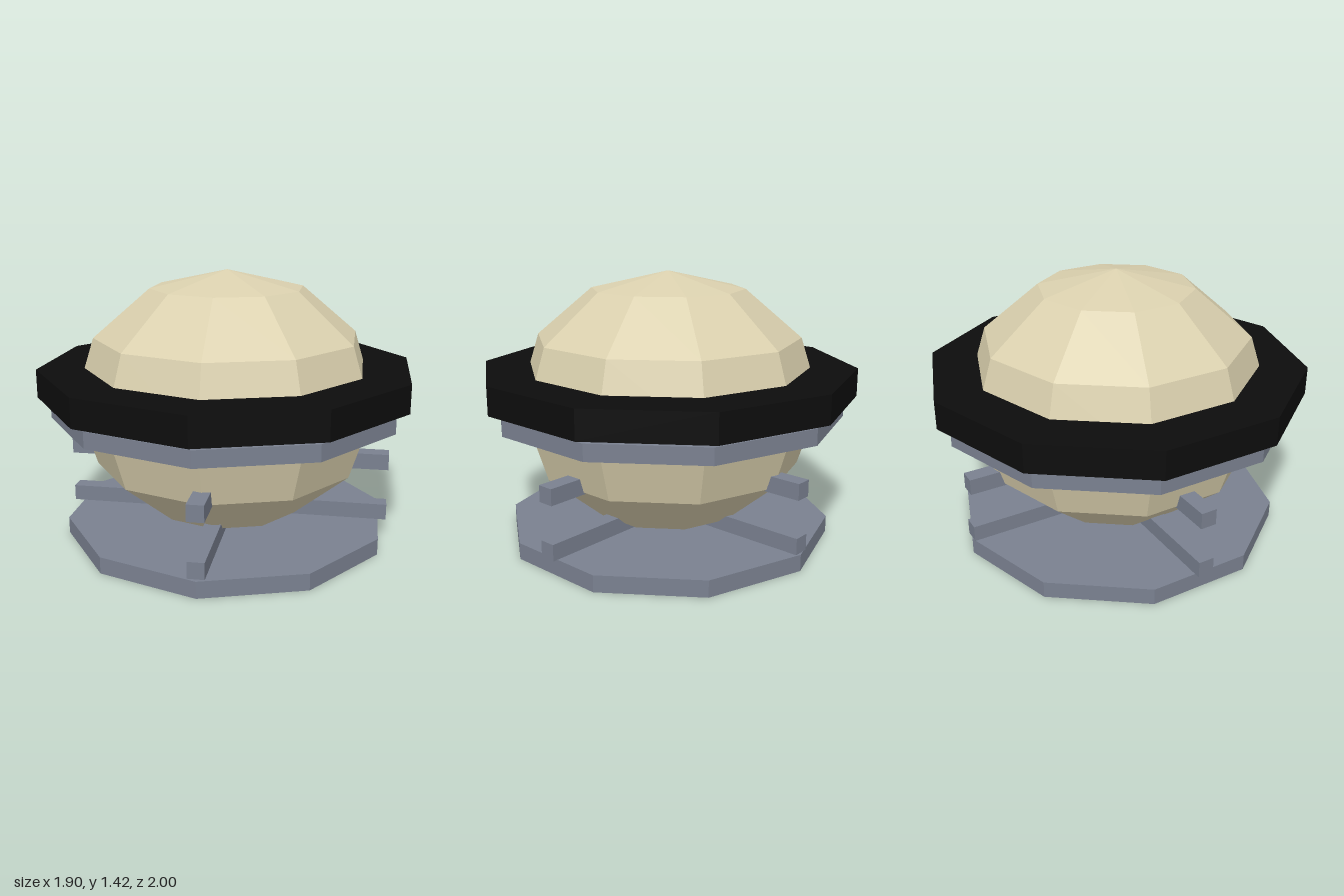
import * as THREE from 'three';

const SIDES = 10;

export function createModel() {
  const group = new THREE.Group();
  const material = (name, color) => {
    const m = new THREE.MeshStandardMaterial({ color, flatShading: true });
    m.name = name;
    return m;
  };
  const cream = material('cream', 0xdad0ae);
  const grey = material('slate grey', 0x7a8190);
  const black = material('black', 0x0d0d0d);

  const add = (name, geometry, mat, y) => {
    const mesh = new THREE.Mesh(geometry, mat);
    mesh.name = name;
    mesh.position.y = y;
    group.add(mesh);
    return mesh;
  };

  // Ten-sided discs with a corner facing the front
  const disc = (name, radius, bottom, top, mat) =>
    add(name, new THREE.CylinderGeometry(radius, radius, top - bottom, SIDES), mat, (bottom + top) / 2);
  disc('base', 0.873, 0, 0.087, grey);
  disc('lowerRing', 0.935, 0.66, 0.745, grey);
  disc('upperRing', 1, 0.772, 0.92, black);

  // Faceted globe, slightly flattened and sunk into the base
  const globe = add('globe', new THREE.SphereGeometry(1, SIDES, 6), cream, 0.735);
  globe.scale.set(0.81, 0.685, 0.81);
  globe.rotation.y = Math.PI / 2;

  // Two levels of crossed support bars
  for (const [level, y] of [['lower', 0.142], ['upper', 0.424]]) {
    add(level + 'SideBar', new THREE.BoxGeometry(1.746, 0.085, 0.085), grey, y);
    add(level + 'FrontBar', new THREE.BoxGeometry(0.085, 0.085, 1.746), grey, y);
  }
  return group;
}
